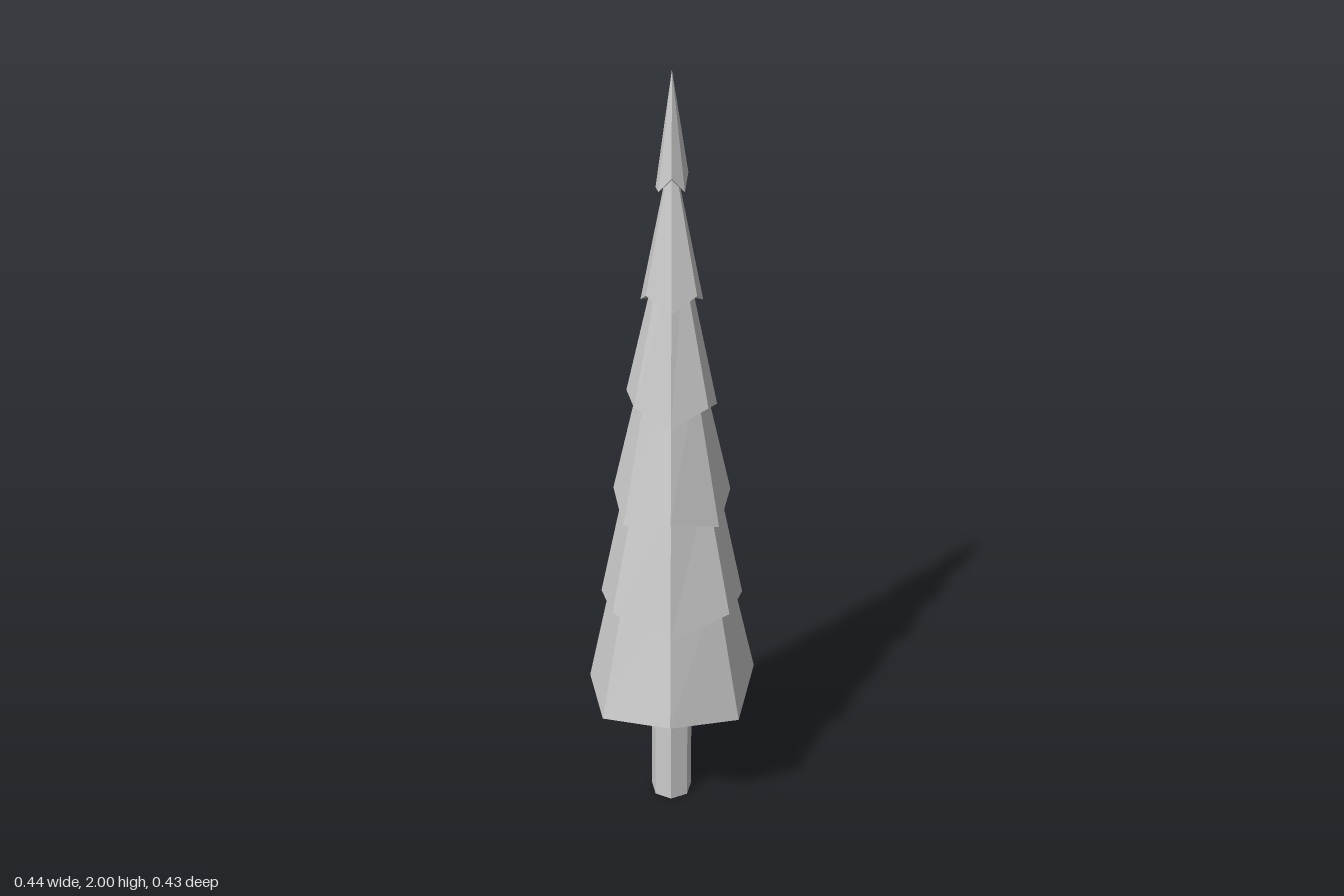
import * as THREE from 'three';

const SIDES = 7;
const CENTRE_Z = 0.01;

// Hem zigzag around a tier, starting at the back corner: 1 = raised, -1 = lowered
const HEM_A = [1, -1, -1, 1, -1, 1, -1];
const HEM_B = [1, -1, 1, -1, 1, -1, -1];
const flip = (hem) => hem.map((s) => -s);
const HEMS = [HEM_A, HEM_B, flip(HEM_B), flip(HEM_A), HEM_B, HEM_A];

// Seven-sided tapering tier whose bottom corners step up and down
function tierGeometry(topRadius, radius, height, hem) {
  const geo = new THREE.CylinderGeometry(topRadius, radius, height, SIDES, 1, false, Math.PI);
  const pos = geo.attributes.position;
  for (let i = 0; i < pos.count; i++) {
    const x = pos.getX(i), z = pos.getZ(i);
    if (pos.getY(i) > 0 || Math.hypot(x, z) < 1e-4) continue;
    const step = Math.round((Math.atan2(x, z) - Math.PI) / (2 * Math.PI / SIDES));
    const corner = (step + 2 * SIDES) % SIDES;
    pos.setY(i, pos.getY(i) + 0.018 * hem[corner]);
  }
  geo.computeVertexNormals();
  return geo;
}

export function createModel() {
  const tree = new THREE.Group();
  tree.name = 'tree';
  const material = new THREE.MeshStandardMaterial({ color: 0xcccccc, flatShading: true });

  const add = (name, geometry, y) => {
    const mesh = new THREE.Mesh(geometry, material);
    mesh.name = name;
    mesh.position.set(0, y, CENTRE_Z);
    tree.add(mesh);
  };

  // Trunk
  add('trunk', new THREE.CylinderGeometry(0.055, 0.055, 0.34, SIDES, 1, false, Math.PI), 0.17);

  // Foliage tiers, each tucked into the one above; the last ends in the tip
  HEMS.forEach((hem, i) => {
    const last = i === HEMS.length - 1;
    const base = 0.357 + 0.278 * i;
    const radius = 0.225 - 0.0374 * i;
    const height = last ? 2 - base : 0.36;
    const topRadius = last ? 0 : Math.max(0, radius - 0.0775);
    add(`foliageTier${i + 1}`, tierGeometry(topRadius, radius, height, hem), base + height / 2);
  });

  return tree;
}
